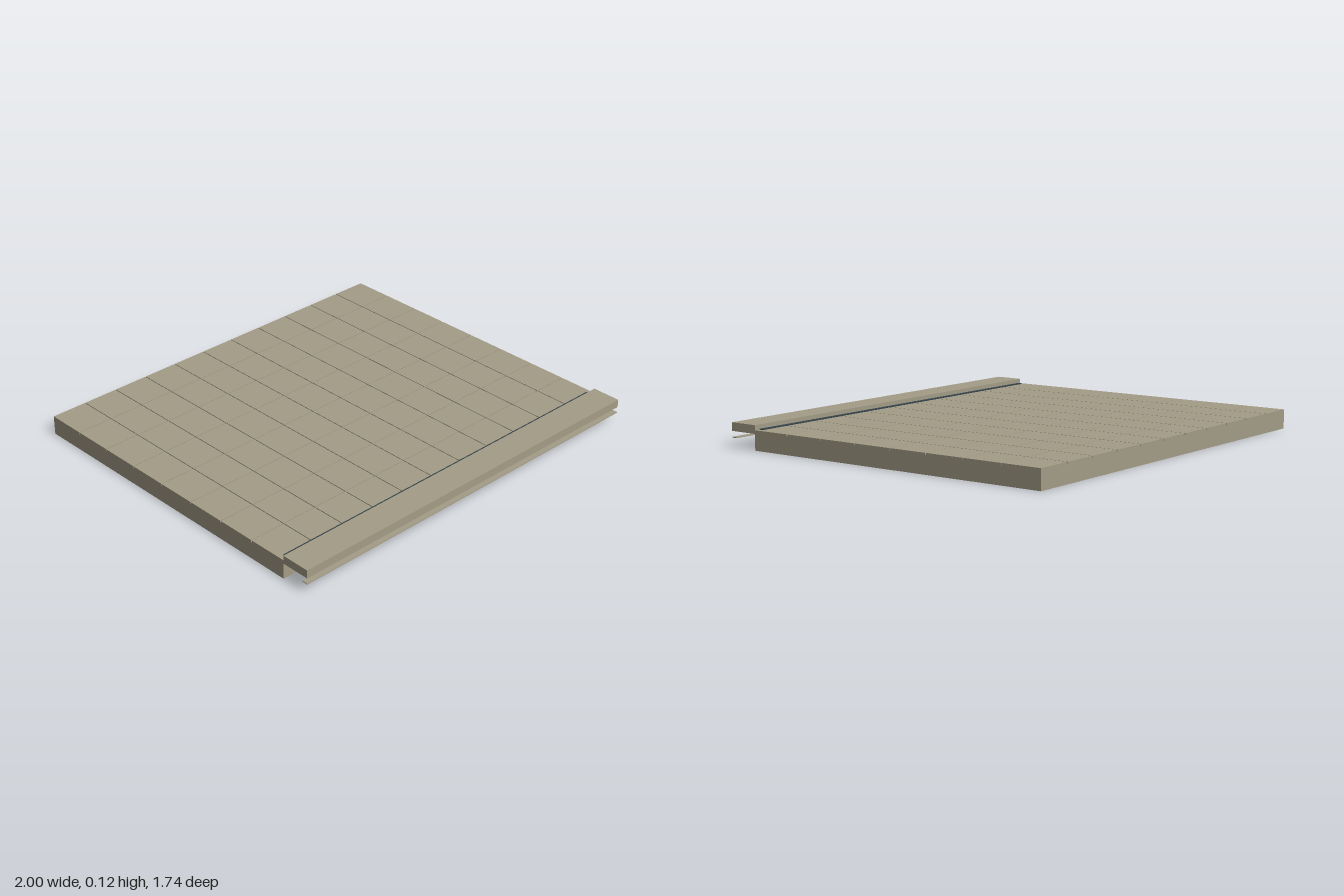
import * as THREE from 'three';

export function createModel() {
  const model = new THREE.Group();
  model.name = 'pavementSection';

  const stone = new THREE.MeshStandardMaterial({ color: 0xa39c86 });
  stone.name = 'stone';
  const drainGrey = new THREE.MeshStandardMaterial({ color: 0x35434a });
  drainGrey.name = 'drainGrey';

  // Box given by its minimum and maximum corners
  function block(name, min, max, material, parent = model) {
    const size = max.map((v, i) => v - min[i]);
    const mesh = new THREE.Mesh(new THREE.BoxGeometry(...size), material);
    mesh.position.set(...min.map((v, i) => v + size[i] / 2));
    mesh.name = name;
    parent.add(mesh);
    return mesh;
  }

  const back = -0.872, front = 0.727, bedTop = 0.084, tileTop = 0.094;

  // Solid bed below the paving
  block('pavingBed', [-1, 0, back], [1, bedTop, front], stone);

  // Paving slabs with narrow open joints
  const paving = new THREE.Group();
  paving.name = 'pavingSlabs';
  model.add(paving);
  const columns = 11, rows = 8, half = 0.002;
  const dx = 2 / columns, dz = (front - back) / rows;
  for (let r = 0; r < rows; r++) {
    for (let c = 0; c < columns; c++) {
      const x0 = -1 + c * dx + (c ? half : 0);
      const x1 = -1 + (c + 1) * dx - (c < columns - 1 ? half : 0);
      const z0 = back + r * dz + (r ? half : 0);
      const z1 = back + (r + 1) * dz - (r < rows - 1 ? half : 0);
      block('pavingSlab', [x0, bedTop, z0], [x1, tileTop, z1], stone, paving);
    }
  }

  // Raised kerb overhanging the front edge
  block('kerb', [-1, 0.077, front], [1, 0.117, 0.872], stone);

  // Thin ledge strip under the kerb
  block('kerbLedge', [-1, 0.046, 0.843], [1, 0.05, 0.872], stone);

  // Dark drain channel behind the kerb
  block('drainStrip', [-0.975, tileTop, 0.7], [0.975, 0.098, 0.722], drainGrey);

  return model;
}
